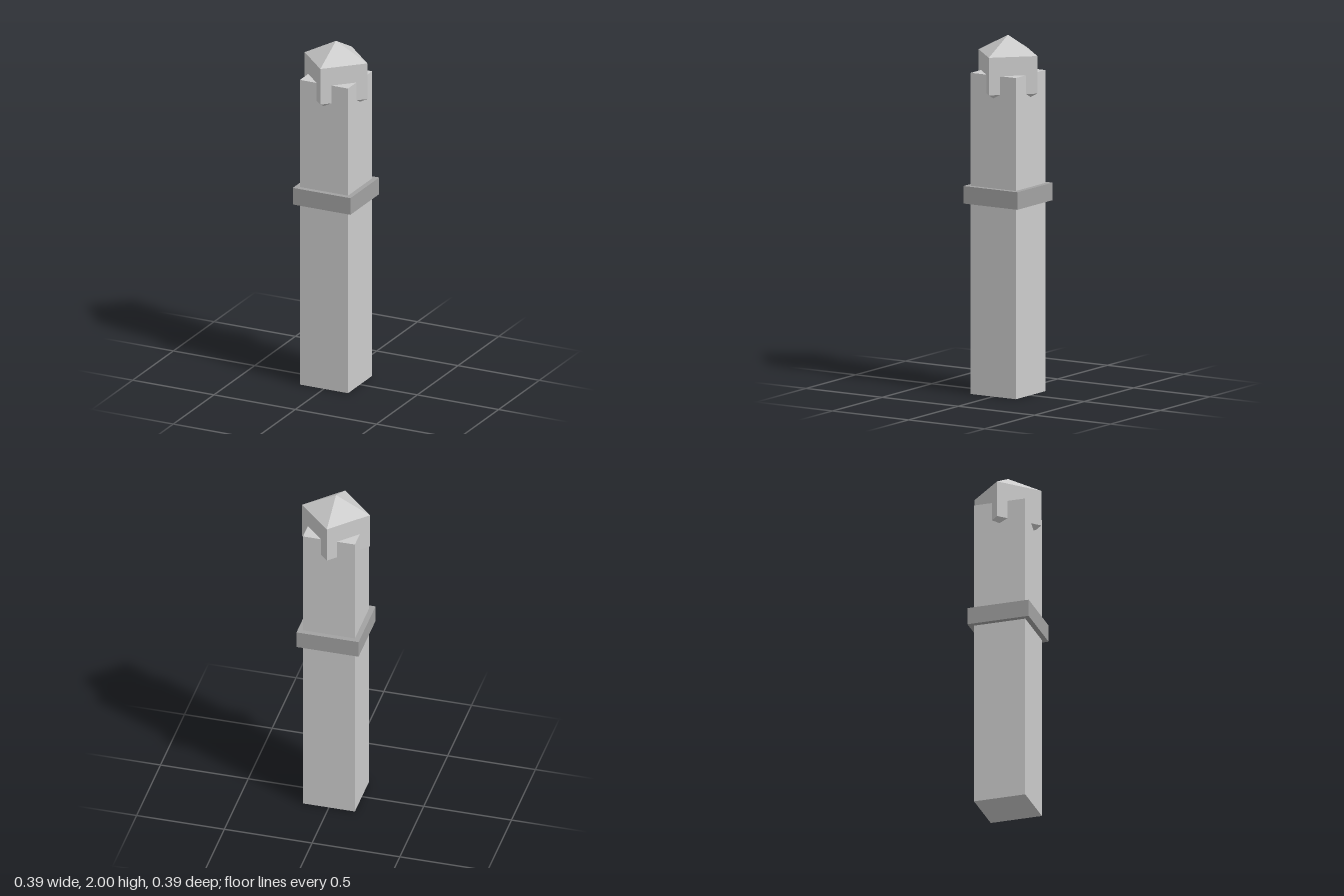
import * as THREE from 'three';

const stone = new THREE.MeshStandardMaterial({ color: 0xcccccc, flatShading: true });
stone.name = 'light grey stone';
const trim = new THREE.MeshStandardMaterial({ color: 0xa2a2a2, flatShading: true });
trim.name = 'mid grey trim';

// Square block spanning from one height to another
function block(name, width, bottom, top, material) {
  const mesh = new THREE.Mesh(new THREE.BoxGeometry(width, top - bottom, width), material);
  mesh.position.y = (bottom + top) / 2;
  mesh.name = name;
  return mesh;
}

export function createModel() {
  const model = new THREE.Group();
  model.name = 'pillar';

  model.add(block('shaft', 0.296, 0, 1.795, stone));
  model.add(block('band', 0.354, 1.066, 1.164, trim));

  // Four-sided cap turned 45 degrees, pointed above and below; its corners pass through the shaft
  const profile = [[0, 1.59], [0.193, 1.69], [0.193, 1.9], [0, 2]]
    .map(([r, y]) => new THREE.Vector2(r, y));
  const cap = new THREE.Mesh(new THREE.LatheGeometry(profile, 4), stone);
  cap.name = 'cap';
  model.add(cap);

  return model;
}
